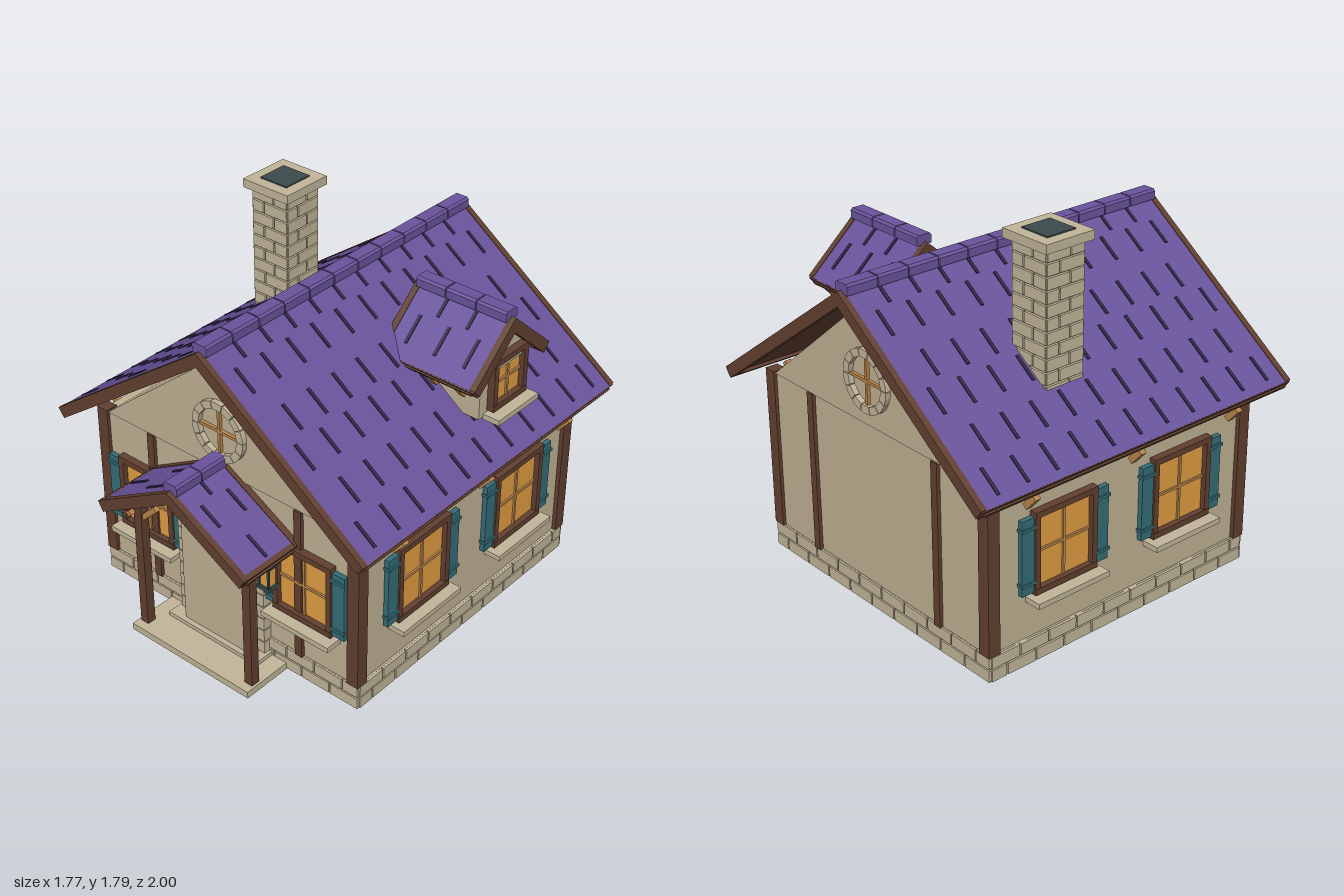
import * as THREE from 'three';
import { mergeGeometries } from 'three/addons/utils/BufferGeometryUtils.js';

const mat = (name, color) => Object.assign(new THREE.MeshStandardMaterial({ color }), { name });

export function createModel() {
  const M = {
    plaster: mat('plaster', 0xbfb192), stone: mat('stone', 0xc1b599), wood: mat('dark wood', 0x613f2f),
    oak: mat('light wood', 0xb9854a), glass: mat('amber glass', 0xe09d42), teal: mat('teal paint', 0x336d77),
    tile: mat('purple tile', 0x69539b), gap: mat('tile gap', 0x30264a), soot: mat('soot', 0x3b4a4c),
  };
  const house = new THREE.Group();
  house.name = 'cottage';

  const add = (parent, name, geo, m) => {
    const mesh = new THREE.Mesh(geo, m);
    mesh.name = name;
    parent.add(mesh);
    return mesh;
  };
  const box = (parent, name, m, w, h, d, x, y, z, rz = 0) => {
    const mesh = add(parent, name, new THREE.BoxGeometry(w, h, d), m);
    mesh.position.set(x, y, z);
    mesh.rotation.z = rz;
    return mesh;
  };
  const group = (parent, name, x = 0, y = 0, z = 0, ry = 0) => {
    const g = new THREE.Group();
    g.name = name;
    g.position.set(x, y, z);
    g.rotation.y = ry;
    parent.add(g);
    return g;
  };
  // Extrude an outline from z0 to z1
  const prism = (parent, name, m, pts, z0, z1) => {
    const shape = new THREE.Shape(pts.map(p => new THREE.Vector2(...p)));
    const geo = new THREE.ExtrudeGeometry(shape, { depth: z1 - z0, bevelEnabled: false });
    return add(parent, name, geo.translate(0, 0, z0), m);
  };

  // Gabled roof with boards, fascias, ridge tiles and tile gaps; ridge runs along z
  function gableRoof(g, hw, apex, eave, z0, z1, ridgeCount) {
    const a = Math.atan2(apex - eave, hw), s = Math.sin(a), c = Math.cos(a);
    const chevron = (name, m, top, t, za, zb) => {
      const A = apex + top, E = eave + top;
      prism(g, name, m, [[-hw, E], [-hw + t * s, E - t * c], [0, A - t / c],
        [hw - t * s, E - t * c], [hw, E], [0, A]], za, zb);
    };
    chevron('roofTiles', M.tile, 0, 0.018, z0 + 0.025, z1 - 0.025);
    chevron('roofBoards', M.wood, -0.02, 0.02, z0 + 0.025, z1 - 0.025);
    chevron('frontBargeboard', M.wood, 0.004, 0.055, z1 - 0.03, z1);
    chevron('backBargeboard', M.wood, 0.004, 0.055, z0, z0 + 0.03);
    const len = z1 - z0, mid = (z0 + z1) / 2;
    const gaps = [];
    for (const k of [-1, 1]) {
      box(g, 'fascia', M.wood, 0.024, 0.05, len - 0.01, k * (hw - 0.022), eave - 0.016, mid, -k * a);
      const rows = Math.floor((len - 0.08) / 0.078);
      for (let i = 0; i < rows; i++) {
        const z = mid + (i - (rows - 1) / 2) * 0.078;
        for (let x = i % 2 ? 0.04 : 0.16; x < hw - 0.05; x += i % 2 ? 0.305 : 0.32) {
          gaps.push(new THREE.BoxGeometry(0.105 / c, 0.009, 0.016)
            .rotateZ(-k * a).translate(k * x, apex - x * Math.tan(a), z));
        }
      }
    }
    add(g, 'tileGaps', mergeGeometries(gaps), M.gap);
    const step = (len - 0.04) / ridgeCount;
    for (let i = 0; i < ridgeCount; i++) {
      const z = z0 + 0.02 + i * step;
      const cap = [[-0.04, -0.012], [0.04, -0.012], [0.04, 0.026], [0.03, 0.036], [-0.03, 0.036], [-0.04, 0.026]];
      prism(g, 'ridgeTile', M.tile, cap.map(([x, y]) => [x, y + apex]), z + 0.003, z + step - 0.003);
    }
  }

  // Window facing +z, with sill and optional shutters
  function windowUnit(parent, x, y, z, ry, w, h, shutters = true) {
    const g = group(parent, 'window', x, y, z, ry), f = 0.028;
    box(g, 'pane', M.glass, w - f, h - f, 0.009, 0, 0, 0.0045);
    for (const k of [-1, 1]) {
      box(g, 'frameSide', M.wood, f, h, 0.035, k * (w - f) / 2, 0, 0.0175);
      box(g, 'frameRail', M.wood, w, f, 0.037, 0, k * (h - f) / 2, 0.0185);
      if (!shutters) continue;
      const sx = k * (w / 2 + 0.035);
      box(g, 'shutter', M.teal, 0.066, h - 0.035, 0.024, sx, -0.003, 0.016);
      for (const sy of [-0.13, 0.13]) box(g, 'strap', M.teal, 0.076, 0.014, 0.034, sx, sy, 0.019);
    }
    box(g, 'mullion', M.oak, 0.012, h - f, 0.018, 0, 0, 0.009);
    box(g, 'transom', M.oak, w - f, 0.012, 0.018, 0, 0, 0.009);
    box(g, 'sill', M.stone, w + 0.05, 0.026, 0.085, 0, -h / 2 - 0.022, 0.0425);
  }

  // Courses of blocks on a face looking along +z
  function courses(g, width, y0, rows, rowH, blockW) {
    for (let r = 0; r < rows; r++) {
      let x = -width / 2, next = x + (r % 2 ? blockW : blockW * 0.55);
      while (x < width / 2 - 0.001) {
        const end = next > width / 2 - 0.03 ? width / 2 : next;
        box(g, 'block', M.stone, end - x - 0.008, rowH - 0.008, 0.024, (x + end) / 2, y0 + (r + 0.5) * rowH, 0);
        x = end;
        next = x + blockW;
      }
    }
  }

  // Wedge stones along an arc
  function arcStones(g, n, ri, ro, start, sweep, depth) {
    for (let i = 0; i < n; i++) {
      const a = start + sweep * (i + 0.03) / n, b = start + sweep * (i + 0.97) / n;
      const p = (r, t) => [r * Math.cos(t), r * Math.sin(t)];
      prism(g, 'wedgeStone', M.stone, [p(ri, a), p(ro, a), p(ro, (a + b) / 2), p(ro, b), p(ri, b)], 0, depth);
    }
  }

  // Walls, with gables standing slightly proud
  const zF = 0.655, zB = -0.85, zM = (zF + zB) / 2;
  box(house, 'walls', M.plaster, 1.49, 0.83, zF - zB, 0, 0.49, zM);
  prism(house, 'gables', M.plaster, [[-0.705, 0.905], [0.705, 0.905], [0, 1.485]], zB - 0.008, zF + 0.008);

  // Stone foundation
  const base = group(house, 'foundation');
  box(base, 'core', M.stone, 1.51, 0.125, zF - zB + 0.006, 0, 0.0625, zM);
  for (const [x, z, ry, w] of [[0, zF, 0, 1.53], [0, zB, Math.PI, 1.53],
    [0.755, zM, Math.PI / 2, 1.51], [-0.755, zM, -Math.PI / 2, 1.51]]) {
    courses(group(base, 'stoneCourse', x, 0, z, ry), w, 0.002, 2, 0.063, 0.16);
  }

  // Timber posts
  for (const k of [-1, 1]) {
    for (const [z, e] of [[zF, 1], [zB, -1]]) {
      box(house, 'cornerPost', M.wood, 0.062, 0.79, 0.062, k * 0.735, 0.52, z - e * 0.015);
      box(house, 'wallPost', M.wood, 0.04, 0.785, 0.035, k * 0.43, 0.515, z);
    }
  }

  // Main roof and its eave brackets
  gableRoof(group(house, 'mainRoof'), 0.885, 1.555, 0.915, -1, 0.795, 11);
  for (const k of [-1, 1]) for (const z of [0.49, -0.1, -0.69]) {
    box(house, 'eaveBracket', M.oak, 0.03, 0.085, 0.03, k * 0.83, 0.83, z, -k * 0.72);
  }

  // Side and front windows
  for (const k of [-1, 1]) {
    for (const z of [0.24, -0.447]) windowUnit(house, k * 0.745, 0.532, z, k * Math.PI / 2, 0.35, 0.39);
    windowUnit(house, k * 0.465, 0.53, zF, 0, 0.33, 0.37);
  }

  // Round gable windows
  for (const [z, ry] of [[zF + 0.008, 0], [zB - 0.008, Math.PI]]) {
    const g = group(house, 'roundWindow', 0, 1.12, z, ry);
    arcStones(g, 14, 0.112, 0.147, 0, Math.PI * 2, 0.025);
    box(g, 'mullion', M.oak, 0.014, 0.225, 0.016, 0, 0, 0.008);
    box(g, 'transom', M.oak, 0.225, 0.014, 0.016, 0, 0, 0.008);
  }

  // Arched doorway
  const door = group(house, 'doorway', 0, 0, zF);
  const arch = [[-0.188, 0.04], [0.188, 0.04]];
  for (let i = 0; i <= 12; i++) {
    const t = Math.PI * i / 12;
    arch.push([0.188 * Math.cos(t), 0.55 + 0.188 * Math.sin(t)]);
  }
  prism(door, 'doorPanel', M.plaster, arch, 0, 0.09);
  arcStones(group(door, 'arch', 0, 0.55, 0), 11, 0.188, 0.25, 0, Math.PI, 0.04);
  for (const k of [-1, 1]) for (let i = 0; i < 8; i++) {
    const w = i % 2 ? 0.062 : 0.068;
    box(door, 'jambStone', M.stone, w, 0.061, 0.045, k * (0.255 - w / 2), 0.085 + i * 0.066, 0.0225);
  }

  // Porch
  const porch = group(house, 'porch');
  gableRoof(group(porch, 'porchRoof'), 0.43, 0.975, 0.73, 0.655, 1, 2);
  box(porch, 'slab', M.stone, 0.71, 0.034, 0.27, 0, 0.017, 0.785);
  box(porch, 'doorStep', M.stone, 0.54, 0.02, 0.11, 0, 0.044, 0.715);
  for (const k of [-1, 1]) {
    box(porch, 'porchPost', M.wood, 0.045, 0.71, 0.045, k * 0.32, 0.385, 0.855);
    box(porch, 'porchBeam', M.wood, 0.045, 0.045, 0.3, k * 0.32, 0.735, 0.805);
    box(porch, 'innerBrace', M.oak, 0.026, 0.13, 0.026, k * 0.265, 0.665, 0.855, k * 0.8);
    for (const z of [0.89, 0.71]) {
      box(porch, 'rafterBracket', M.oak, 0.026, 0.1, 0.026, k * 0.375, 0.675, z, -k * 0.75);
    }
  }

  // Wall lantern beside the door
  const lantern = group(house, 'lantern', 0.295, 0.53, 0.71);
  box(lantern, 'lamp', M.glass, 0.05, 0.1, 0.05, 0, 0, 0);
  for (const y of [-0.058, 0.058]) box(lantern, 'cap', M.soot, 0.07, 0.02, 0.07, 0, y, 0);
  for (const x of [-1, 1]) for (const z of [-1, 1]) {
    box(lantern, 'bar', M.soot, 0.01, 0.11, 0.01, x * 0.027, 0, z * 0.027);
  }
  box(lantern, 'arm', M.soot, 0.016, 0.016, 0.075, 0, 0.075, -0.025);

  // Chimney
  const chimney = group(house, 'chimney', -0.478, 0, -0.287);
  box(chimney, 'core', M.stone, 0.19, 0.72, 0.19, 0, 1.39, 0);
  for (let i = 0; i < 4; i++) {
    const a = i * Math.PI / 2;
    courses(group(chimney, 'chimneyFace', Math.sin(a) * 0.095, 0, Math.cos(a) * 0.095, a), 0.21, 1.03, 12, 0.06, 0.13);
  }
  box(chimney, 'chimneyCap', M.stone, 0.265, 0.042, 0.265, 0, 1.764, 0);
  box(chimney, 'flue', M.soot, 0.155, 0.008, 0.155, 0, 1.787, 0);

  // Dormer, facing +x
  const dormer = group(house, 'dormer', 0, 0, -0.327, Math.PI / 2);
  prism(dormer, 'dormerWalls', M.plaster, [[-0.175, 1.08], [0.175, 1.08], [0.175, 1.3], [0, 1.455], [-0.175, 1.3]], 0.42, 0.74);
  gableRoof(group(dormer, 'dormerRoof'), 0.27, 1.52, 1.28, 0.255, 0.78, 3);
  windowUnit(dormer, 0, 1.23, 0.74, 0, 0.24, 0.25, false);
  box(dormer, 'headPanel', M.plaster, 0.19, 0.032, 0.02, 0, 1.313, 0.75);
  for (const k of [-1, 1]) for (const z of [0.52, 0.67]) {
    box(dormer, 'dormerBracket', M.oak, 0.028, 0.075, 0.028, k * 0.22, 1.225, z, -k * 0.7);
  }

  return house;
}
